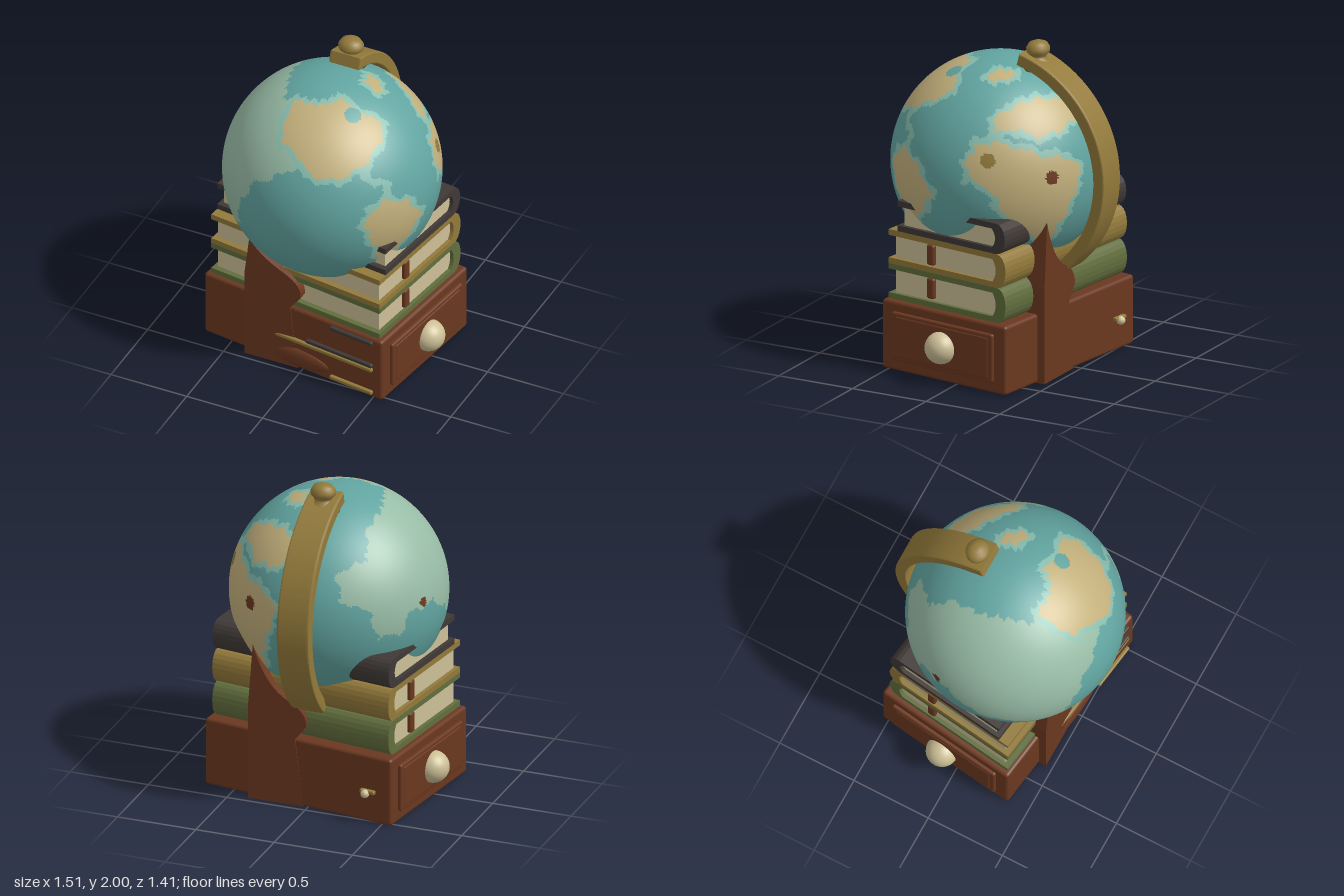
import * as THREE from 'three';
import { RoundedBoxGeometry } from 'three/addons/geometries/RoundedBoxGeometry.js';

const mat = (name, color, side = THREE.FrontSide) =>
  Object.assign(new THREE.MeshStandardMaterial({ color, side }), { name });

const wood = mat('wood', 0x6b3820);
const charcoal = mat('charcoal', 0x3f3936);
const brass = mat('brass', 0x937a3b);
const green = mat('bookGreen', 0x626e3e);
const cream = mat('paper', 0xcdc097);
const ocean = mat('ocean', 0x62a5a1);
const mint = mat('paleLand', 0x98bca6);
const shore = mat('shore', 0x88beb0);
const tan = mat('tanLand', 0xc3b07c);

const TURN = -0.137; // the base and books are turned a little
const GLOBE = { y: 1.22, z: 0.05, r: 0.655 };

function add(parent, name, geometry, material, x = 0, y = 0, z = 0) {
  const mesh = new THREE.Mesh(geometry, material);
  mesh.name = name;
  mesh.position.set(x, y, z);
  parent.add(mesh);
  return mesh;
}
const box = (w, h, d, r = 0.012) => new RoundedBoxGeometry(w, h, d, 2, r);

// Map outlines as [longitude, latitude]; longitude 0 faces the front, 90 the model's left
const TAN_LAND = [
  [[-31, 67], [14, 71], [44, 75], [75, 53], [60, 42], [42, 34], [28, 29], [10, 32], [0, 41], [-15, 45]],
  [[46, 11], [57, 14], [68, 9], [80, -4], [75, -12], [66, -22], [54, -27], [50, -15], [43, 0]],
  [[101, 16], [101, 7], [113, 3], [120, -11], [129, -24], [150, -34], [158, -12], [166, 5], [160, 15],
    [144, 18], [127, 24], [116, 27], [105, 25]],
  [[115, 31], [114, 38], [128, 47], [150, 50], [172, 45], [175, 34], [155, 29], [142, 28], [127, 34]],
  [[143, 69], [134, 65], [111, 63], [101, 65], [114, 73]],
];
const PALE_LAND = [[0, 31], [-19, 20], [-23, 14], [-33, -2], [-33, -10], [-38, -20], [-51, -20], [-58, -10],
  [-80, -8], [-100, 6], [-118, 5], [-125, -5], [-138, -5], [-142, 10], [-158, 18], [-160, 32], [-140, 38],
  [-135, 52], [-120, 60], [-105, 62], [-85, 66], [-60, 66], [-40, 62], [-31, 69], [-5, 71], [8, 50]];
const ISTHMUS = [[44, 34], [50, 27], [57, 22], [58, 13]];
const SPOTS = [[50, 63, 4.5, 0], [147, 6, 3.6, 4], [112, 17, 4, 5], [-108, 8, 2.5, 4]]; // lon, lat, radius, material

function inside(poly, u, v) {
  let hit = false;
  poly.forEach(([x1, y1], i) => {
    const [x2, y2] = poly[(i + 1) % poly.length];
    if ((y1 > v) !== (y2 > v) && u < x1 + (v - y1) * (x2 - x1) / (y2 - y1)) hit = !hit;
  });
  return hit;
}
function distance(points, u, v, closed) {
  const k = Math.cos(v * Math.PI / 180);
  let best = 999;
  for (let i = 0; i < points.length - (closed ? 0 : 1); i++) {
    const [x1, y1] = points[i], [x2, y2] = points[(i + 1) % points.length];
    const dx = (x2 - x1) * k, dy = y2 - y1, px = (u - x1) * k, py = v - y1;
    const t = Math.min(1, Math.max(0, (px * dx + py * dy) / (dx * dx + dy * dy)));
    best = Math.min(best, Math.hypot(px - t * dx, py - t * dy));
  }
  return best;
}
function mapMaterial(lon, lat) {
  const u = lon + 1.3 * Math.sin(lat * 0.5) + 0.7 * Math.sin(lat * 1.1 + lon * 0.3); // wobbly coasts
  const v = lat + 1.1 * Math.sin(lon * 0.4 + 1) + 0.6 * Math.sin(lon * 0.9);
  for (const [a, b, r, m] of SPOTS)
    if (Math.hypot((lon - a) * Math.cos(b * Math.PI / 180), lat - b) < r) return m;
  if (TAN_LAND.some(p => inside(p, u, v))) return 3;
  if (distance(ISTHMUS, u, v, false) < 2.5 || TAN_LAND.some(p => distance(p, u, v, true) < 3)) return 2;
  return inside(PALE_LAND, u, v) ? 1 : 0;
}

// Sphere whose faces are sorted into one group per map colour
function globeGeometry() {
  const geo = new THREE.SphereGeometry(GLOBE.r, 240, 140);
  const index = geo.index.array, pos = geo.attributes.position;
  const bins = [[], [], [], [], [], []];
  const c = new THREE.Vector3(), p = new THREE.Vector3();
  for (let i = 0; i < index.length; i += 3) {
    c.set(0, 0, 0);
    for (let j = 0; j < 3; j++) c.add(p.fromBufferAttribute(pos, index[i + j]));
    c.normalize();
    const lon = Math.atan2(c.x, c.z) * 180 / Math.PI, lat = Math.asin(c.y) * 180 / Math.PI;
    bins[mapMaterial(lon, lat)].push(index[i], index[i + 1], index[i + 2]);
  }
  geo.setIndex(bins.flat());
  let start = 0;
  bins.forEach((b, m) => { geo.addGroup(start, b.length, m); start += b.length; });
  return geo;
}

// Closed book: C-shaped cover with a rounded spine at the back, and a page block
function book(parent, name, material, y, h, hz, z = 0) {
  const hx = 0.6, t = 0.036, g = new THREE.Group();
  g.name = name;
  g.position.set(0, y, z);
  const s = new THREE.Shape();
  s.moveTo(hz, 0);
  s.lineTo(-hz + 0.07, 0);
  s.bezierCurveTo(-hz - 0.02, 0, -hz - 0.02, h, -hz + 0.07, h);
  s.lineTo(hz, h);
  s.lineTo(hz, h - t);
  s.lineTo(-hz + 0.1, h - t);
  s.quadraticCurveTo(-hz + 0.05, h / 2, -hz + 0.1, t);
  s.lineTo(hz, t);
  const cover = new THREE.ExtrudeGeometry(s, { depth: 2 * hx, bevelEnabled: false, curveSegments: 10 });
  cover.rotateY(-Math.PI / 2).translate(hx, 0, 0);
  add(g, 'cover', cover, material);
  add(g, 'pages', new THREE.BoxGeometry(2 * hx - 0.05, h - 2 * t + 0.004, 2 * hz - 0.11), cream, 0, h / 2, 0.02);
  parent.add(g);
}

// Tapering upright that cradles the globe; its peak is on the outer side
function upright(parent, name, peak, turn) {
  const s = new THREE.Shape();
  s.moveTo(-0.38, 0);
  s.lineTo(-0.38, 0.6);
  s.lineTo(-0.35, peak);
  s.quadraticCurveTo(-0.27, 0.74, -0.12, 0.67);
  s.quadraticCurveTo(0, 0.61, -0.01, 0.52);
  s.lineTo(-0.08, 0.43);
  s.lineTo(-0.03, 0);
  const geo = new THREE.ExtrudeGeometry(s, { depth: 0.12, bevelEnabled: false, curveSegments: 8 });
  geo.translate(0, 0, 0.34);
  add(parent, name, geo, wood).rotation.y = turn;
}

export function createModel() {
  const model = new THREE.Group();
  model.name = 'globeOnBooks';
  const stack = new THREE.Group();
  stack.name = 'baseAndBooks';
  stack.rotation.y = TURN;
  model.add(stack);

  // Wooden base with a drawer and knob on both ends
  add(stack, 'baseBox', box(1.27, 0.43, 0.92, 0.02), wood, 0, 0.215, 0);
  for (const side of [1, -1]) {
    add(stack, 'drawerPanel', box(0.04, 0.3, 0.75), wood, side * 0.637, 0.22, 0);
    add(stack, 'drawerRim', box(0.03, 0.26, 0.69), wood, side * 0.647, 0.22, 0);
    add(stack, 'drawerKnob', new THREE.SphereGeometry(0.098, 28, 20), cream, side * 0.663, 0.22, 0);
    for (const y of [0.545, 0.755])
      add(stack, 'bookmark', box(0.04, 0.13, 0.055, 0.015), wood, side * 0.58, y, side * 0.13);
  }

  // Small fittings on the front of the base: x start, x end, y, material
  for (const [a, b, y, m] of [[0.27, 0.57, 0.4, charcoal], [0.1, 0.57, 0.236, charcoal],
    [-0.14, 0.57, 0.205, brass], [0.27, 0.57, 0.04, brass]])
    add(stack, 'frontStrip', box(b - a, 0.026, 0.04, 0.008), m, (a + b) / 2, y, 0.46);
  add(stack, 'frontBoss', new THREE.SphereGeometry(1, 28, 16), wood, 0.02, 0.078, 0.455).scale.set(0.24, 0.065, 0.03);

  // Latch on the back, medallion underneath
  add(stack, 'latchPlate', box(0.1, 0.025, 0.04, 0.008), brass, -0.48, 0.2, -0.465);
  add(stack, 'latchKnob', new THREE.SphereGeometry(0.027, 14, 10), cream, -0.47, 0.19, -0.485);
  add(stack, 'medallion', new THREE.CylinderGeometry(0.14, 0.14, 0.004, 36), brass, 0, 0.001, 0);
  for (const a of [0.5, 2.6, 4.7])
    add(stack, 'medallionLeaf', new THREE.CylinderGeometry(0.05, 0.05, 0.004, 16), green,
      0.07 * Math.cos(a), 0, 0.07 * Math.sin(a));

  book(stack, 'lowerBook', green, 0.43, 0.22, 0.435);
  book(stack, 'middleBook', brass, 0.648, 0.212, 0.435);
  book(stack, 'upperBook', charcoal, 0.86, 0.19, 0.4, -0.03);

  upright(model, 'frontUpright', 0.85, 0);
  upright(model, 'backUpright', 1.0, Math.PI);

  add(model, 'globe', globeGeometry(), [ocean, mint, shore, tan, wood, brass], 0, GLOBE.y, GLOBE.z);

  // Curved brass arm behind the globe
  const arc = new THREE.Shape();
  const from = Math.PI / 2 + 0.25, to = Math.PI / 2 + 2.42;
  arc.absarc(0, 0, 0.75, from, to, false);
  arc.absarc(0, 0, 0.69, to, from, true);
  const arm = new THREE.ExtrudeGeometry(arc, {
    depth: 0.18, bevelThickness: 0.012, bevelSize: 0.008, bevelSegments: 2, curveSegments: 40 });
  arm.translate(0, 0, -0.09).rotateY(-Math.PI / 2);
  add(model, 'arm', arm, brass, 0, 1.195, 0.05);

  // Finial on top of the arm
  const profile = [[0, -0.03], [0.1, -0.03], [0.1, 0], [0.075, 0.025], [0.055, 0.04], [0.055, 0.055],
    [0.075, 0.075], [0.078, 0.1], [0.06, 0.128], [0.03, 0.14], [0, 0.142]].map(p => new THREE.Vector2(...p));
  add(model, 'finial', new THREE.LatheGeometry(profile, 28), brass, 0, 1.858, -0.205).scale.z = 0.9;

  return model;
}
